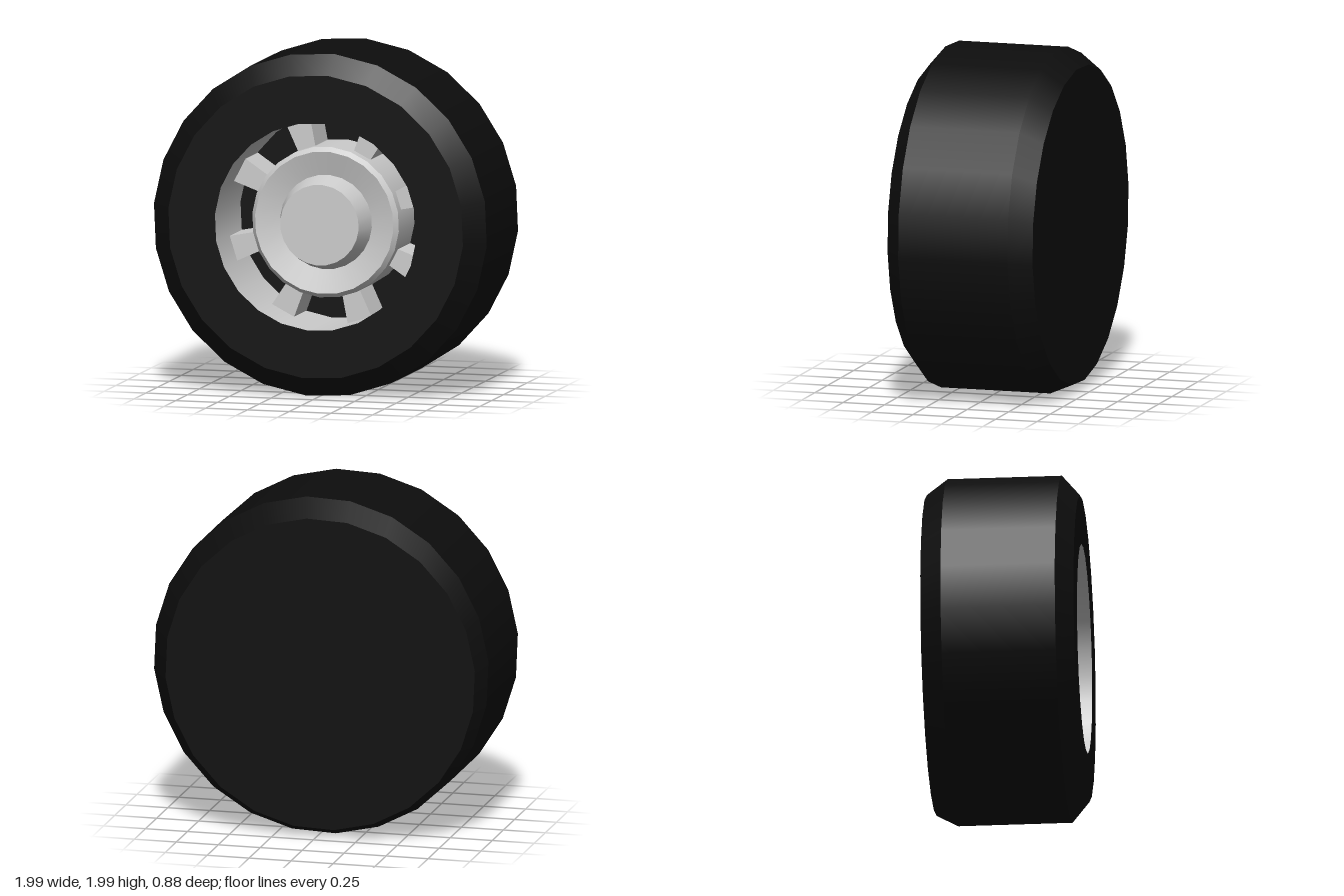
import * as THREE from 'three';
import { mergeGeometries } from 'three/addons/utils/BufferGeometryUtils.js';

const SIDES = 24;
const rubber = new THREE.MeshStandardMaterial({ color: 0x0d0d0d });
const metal = new THREE.MeshStandardMaterial({ color: 0xcccccc });

// Revolves [radius, z] points around the z axis, one band per segment so that
// the edges between bands stay sharp while each band is smooth around.
// Outer bands run from back to front.
function revolve(profile) {
  const bands = [];
  for (let i = 0; i < profile.length - 1; i++) {
    const pts = [profile[i], profile[i + 1]].map(([r, z]) => new THREE.Vector2(r, z));
    bands.push(new THREE.LatheGeometry(pts, SIDES, THREE.MathUtils.degToRad(10)));
  }
  return mergeGeometries(bands).rotateX(Math.PI / 2);
}

function part(name, geometry, material) {
  const mesh = new THREE.Mesh(geometry, material);
  mesh.name = name;
  return mesh;
}

export function createModel() {
  const wheel = new THREE.Group();
  wheel.name = 'wheel';

  // Tyre: closed back, rear bevel, tread, front bevel, flat sidewall
  const tyre = revolve([[0, -0.44], [0.925, -0.44], [1, -0.32], [1, 0.34], [0.885, 0.44], [0.605, 0.44]]);
  // The back face sits slightly off centre
  const pos = tyre.attributes.position;
  for (let i = 0; i < pos.count; i++) {
    if (pos.getZ(i) < -0.43) pos.setXY(i, pos.getX(i) - 0.025, pos.getY(i) - 0.025);
  }
  tyre.computeBoundingSphere();
  wheel.add(part('tyre', tyre, rubber));

  // Recess: metal inner wall and dark floor
  wheel.add(part('rimWall', revolve([[0.605, 0.44], [0.605, -0.1]]), metal));
  wheel.add(part('recessFloor', revolve([[0.605, -0.1], [0, -0.1]]), rubber));

  // Hub: drum, chamfered lip, dished face
  wheel.add(part('hub', revolve([[0.44, -0.1], [0.44, 0.23], [0.415, 0.26], [0.275, 0.22]]), metal));
  // Tapered centre cap
  wheel.add(part('hubCap', revolve([[0.275, 0.22], [0.235, 0.36], [0, 0.36]]), metal));

  // Eight spokes, widening towards the rim
  const outline = new THREE.Shape([
    new THREE.Vector2(0.42, -0.053), new THREE.Vector2(0.603, -0.075),
    new THREE.Vector2(0.603, 0.075), new THREE.Vector2(0.42, 0.053),
  ]);
  const spokeGeo = new THREE.ExtrudeGeometry(outline, { depth: 0.26, bevelEnabled: false });
  spokeGeo.translate(0, 0, -0.1);
  const spokes = new THREE.Group();
  spokes.name = 'spokes';
  for (let i = 0; i < 8; i++) {
    const spoke = part('spoke', spokeGeo, metal);
    spoke.rotation.z = THREE.MathUtils.degToRad(17.8 + i * 45);
    spokes.add(spoke);
  }
  wheel.add(spokes);

  wheel.position.y = 1;
  const model = new THREE.Group();
  model.name = 'wheelModel';
  model.add(wheel);
  return model;
}
